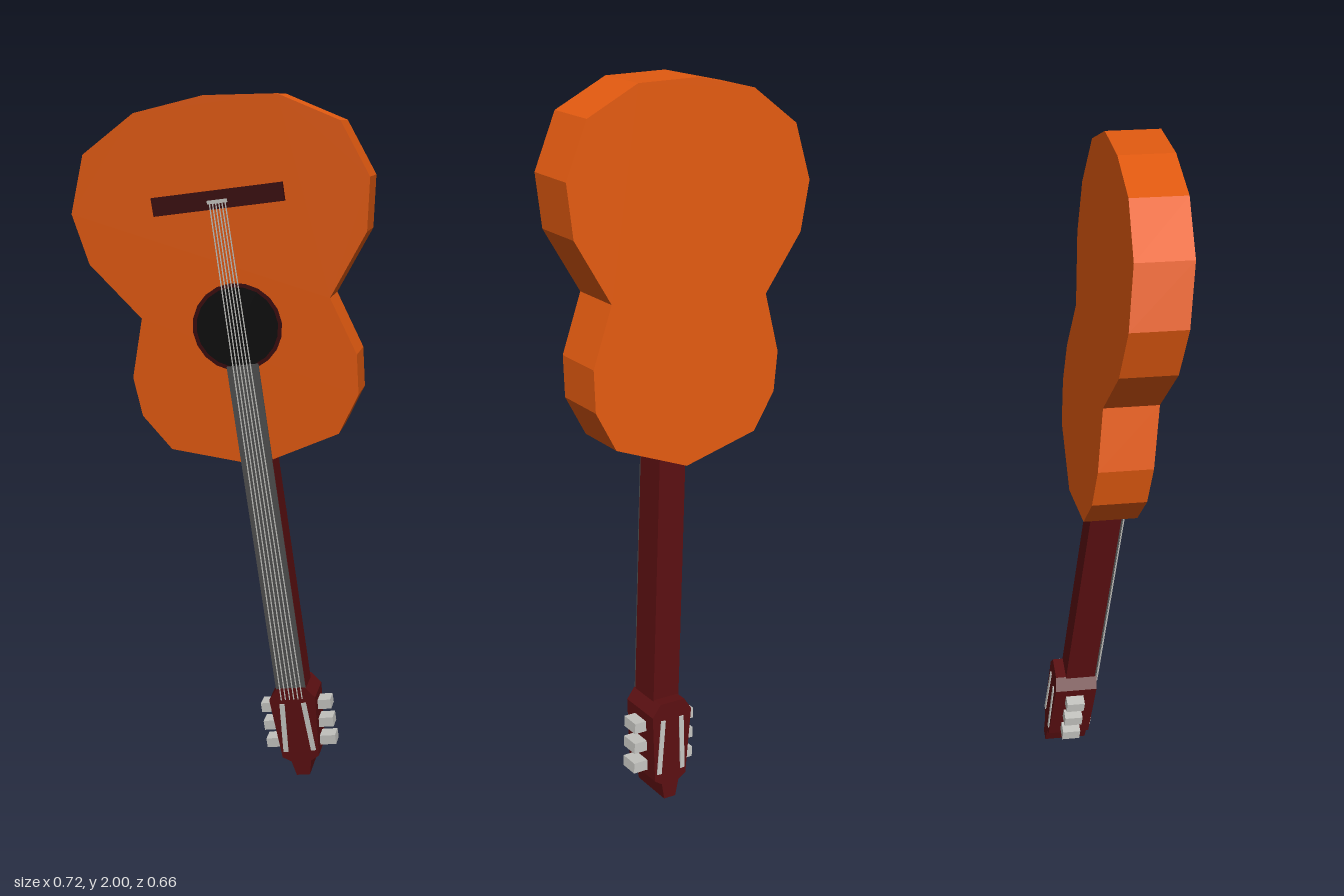
import * as THREE from 'three';

const mat = (name, color, extra = {}) => {
  const m = new THREE.MeshStandardMaterial({ color, ...extra });
  m.name = name;
  return m;
};

export function createModel() {
  const orange = mat('orange wood', 0xe25a10);
  const darkRed = mat('dark red wood', 0x5a0f11);
  const deepRed = mat('deep red trim', 0x3a0a0c);
  const black = mat('black', 0x0c0c0c);
  const grey = mat('fretboard grey', 0x505050);
  const silver = mat('silver', 0xc4c4c0);

  const model = new THREE.Group();
  model.name = 'guitar';

  // Leaning pose: across, along (towards the body end) and out of the soundboard
  const pose = new THREE.Matrix4().makeBasis(
    new THREE.Vector3(0.726, 0.131, 0.676),
    new THREE.Vector3(-0.174, 0.985, 0),
    new THREE.Vector3(-0.7, 0, 0.714)
  ).setPosition(-0.016, 1.428, 0.051);

  const add = (name, geometry, material) => {
    const g = geometry.index ? geometry.toNonIndexed() : geometry;
    g.applyMatrix4(pose);
    g.computeVertexNormals();
    const mesh = new THREE.Mesh(g, material);
    mesh.name = name;
    model.add(mesh);
  };

  // Box given by its limits across, along and outwards
  const box = (name, x0, x1, y0, y1, z0, z1, material) => add(name,
    new THREE.BoxGeometry(x1 - x0, y1 - y0, z1 - z0)
      .translate((x0 + x1) / 2, (y0 + y1) / 2, (z0 + z1) / 2), material);

  // Slab from a half outline mirrored across the centre line
  const slab = (name, half, z0, z1, material) => {
    const mirrored = half.filter(p => p[0] > 0).reverse().map(([x, y]) => [-x, y]);
    const shape = new THREE.Shape([...half, ...mirrored].map(p => new THREE.Vector2(...p)));
    add(name, new THREE.ExtrudeGeometry(shape, { depth: z1 - z0, bevelEnabled: false })
      .translate(0, 0, z0), material);
  };

  // Body
  slab('body', [
    [0, -0.455], [0.238, -0.3845], [0.306, -0.278], [0.315, -0.1645], [0.262, 0],
    [0.382, 0.1665], [0.407, 0.309], [0.348, 0.4625], [0.193, 0.552], [0, 0.573]
  ], -0.147, 0, orange);

  // Sound hole and its rim
  add('soundHole', new THREE.CircleGeometry(0.113, 20).translate(0, -0.053, 0.004), black);
  add('soundHoleRim', new THREE.RingGeometry(0.113, 0.124, 20).translate(0, -0.053, 0.004), deepRed);

  // Bridge and saddle
  box('bridge', -0.178, 0.178, 0.275, 0.325, 0, 0.018, deepRed);
  box('saddle', -0.027, 0.027, 0.29, 0.3, 0.018, 0.024, silver);

  // Neck and fretboard
  box('neck', -0.045, 0.045, -1.17, -0.44, -0.082, 0.008, darkRed);
  box('fretboard', -0.044, 0.044, -1.165, -0.16, 0.004, 0.013, grey);

  // Headstock
  slab('headstock', [
    [0.02, -1.447], [0.03, -1.4], [0.055, -1.385], [0.069, -1.19], [0.042, -1.155]
  ], -0.113, 0.014, darkRed);

  for (const side of [-1, 1]) {
    // Headstock slots, following its taper on the front and back
    for (const z of [0.015, -0.114]) {
      const slot = new THREE.BoxGeometry(0.015, 0.16, 0.005)
        .rotateZ(side * 0.06).translate(side * 0.037, -1.285, z);
      add('headstockSlot', slot, silver);
    }
    // Tuning pegs
    for (const y of [-1.23, -1.29, -1.35]) {
      const a = side * 0.045, b = side * 0.105;
      box('tuningPeg', Math.min(a, b), Math.max(a, b), y - 0.015, y + 0.015, -0.078, -0.024, silver);
    }
  }

  // Strings, fanning slightly from the bridge to the headstock
  for (let i = 0; i < 6; i++) {
    const k = i - 2.5;
    const string = new THREE.BoxGeometry(0.003, 1.49, 0.003)
      .rotateZ(k * 0.0027).translate(k * 0.0105, -0.445, 0.02);
    add('string', string, silver);
  }

  return model;
}
